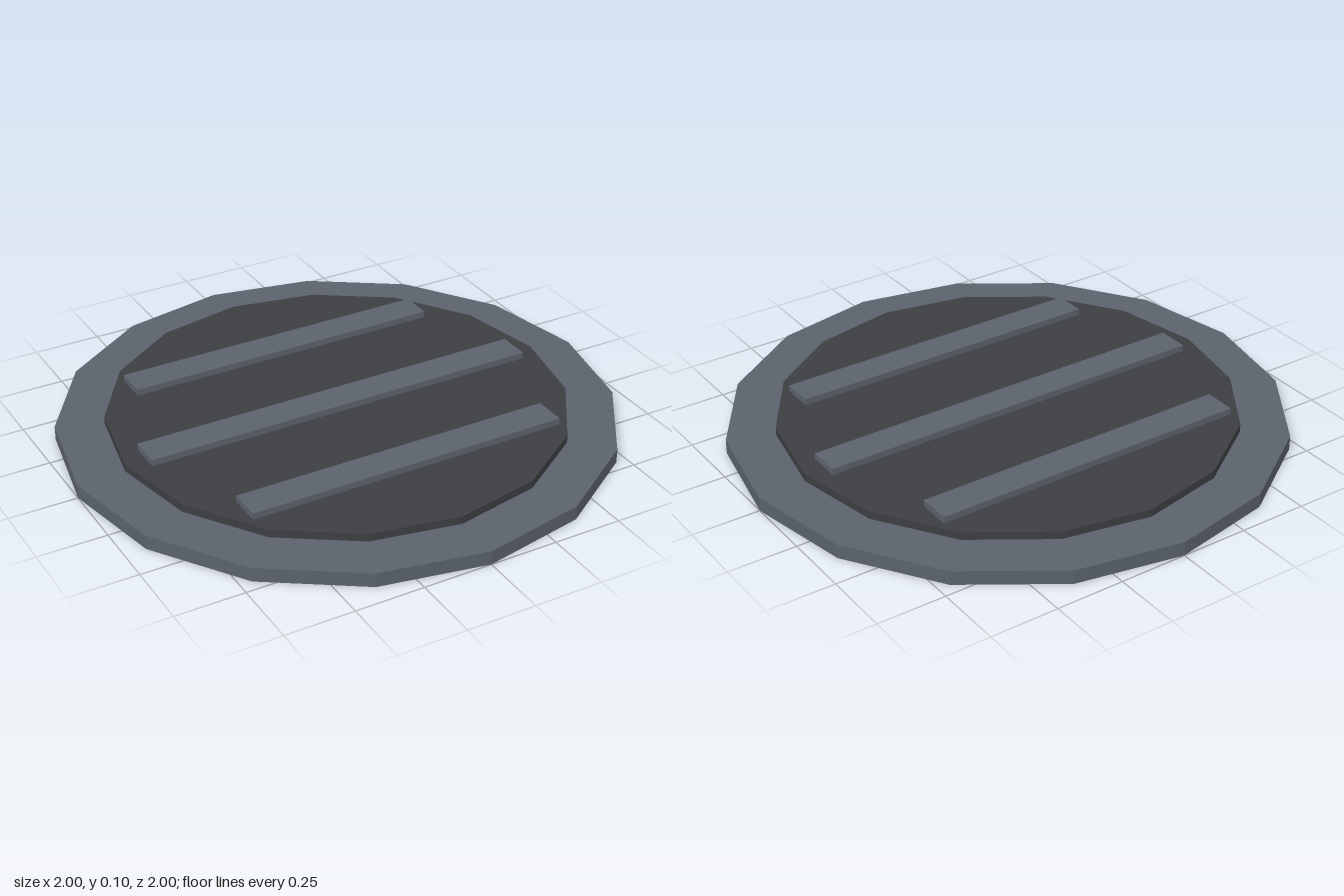
import * as THREE from 'three';

const steel = new THREE.MeshStandardMaterial({ color: 0x5b626d, flatShading: true });
const darkSteel = new THREE.MeshStandardMaterial({ color: 0x3c3e42, flatShading: true });

function addPart(group, name, geometry, material, y, z = 0) {
  const mesh = new THREE.Mesh(geometry, material);
  mesh.name = name;
  mesh.position.set(0, y, z);
  group.add(mesh);
}

// Sixteen-sided disc standing between two heights
function addDisc(group, name, radius, bottom, top, material) {
  const geometry = new THREE.CylinderGeometry(radius, radius, top - bottom, 16);
  addPart(group, name, geometry, material, (bottom + top) / 2);
}

export function createModel() {
  const cover = new THREE.Group();
  cover.name = 'hatchCover';

  // Outer rim plate and raised dark lid
  addDisc(cover, 'rim', 1, 0, 0.052, steel);
  addDisc(cover, 'lid', 0.825, 0.052, 0.081, darkSteel);

  // Three raised ribs, the middle one longer
  const ribs = [
    ['backRib', -0.45, 1.2],
    ['middleRib', 0, 1.5],
    ['frontRib', 0.45, 1.2],
  ];
  for (const [name, z, length] of ribs) {
    addPart(cover, name, new THREE.BoxGeometry(length, 0.024, 0.12), steel, 0.093, z);
  }
  return cover;
}
